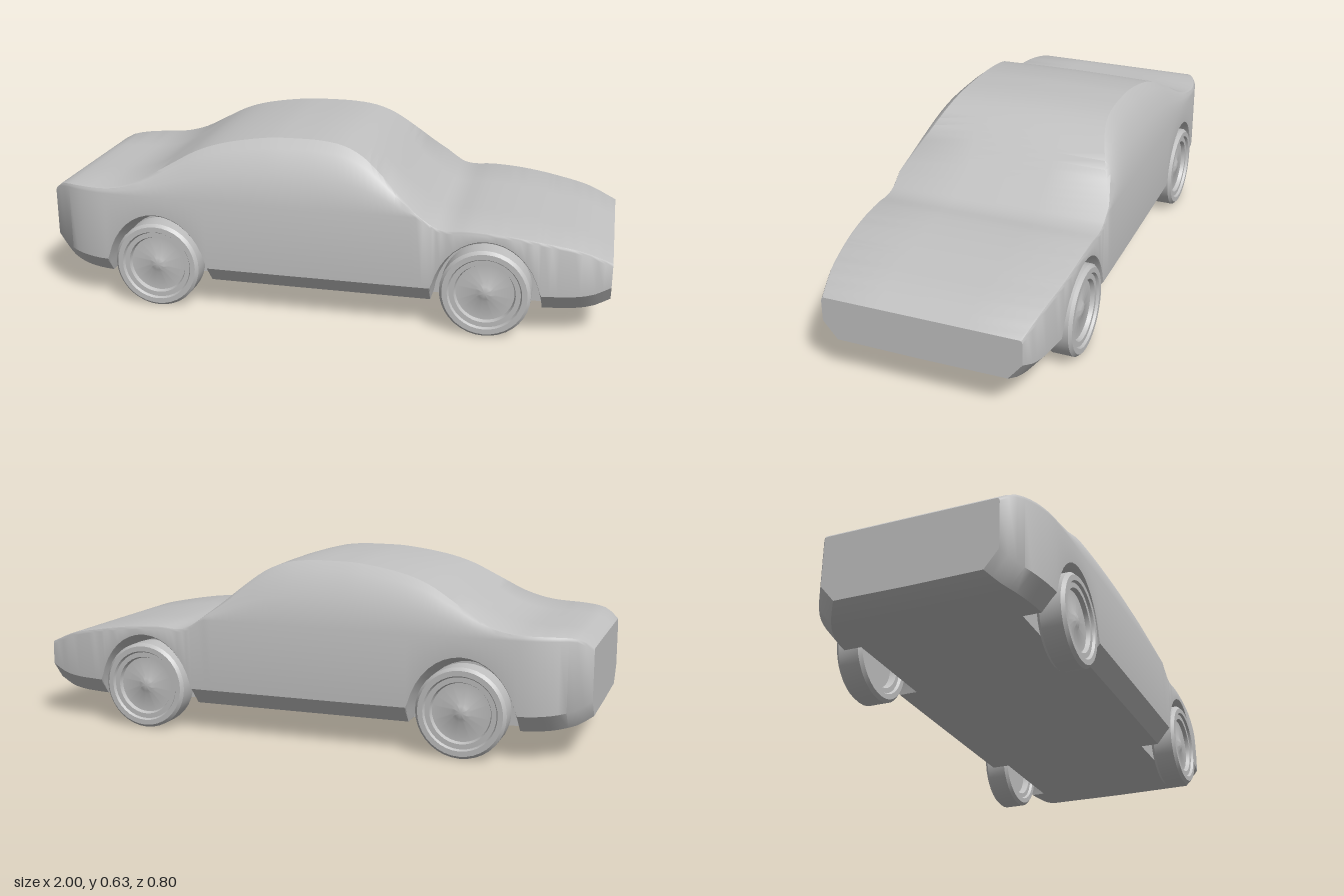
import * as THREE from 'three';
import { toCreasedNormals } from 'three/addons/utils/BufferGeometryUtils.js';

const WHEEL_X = 0.585, WHEEL_R = 0.155, ARCH_W = 0.19;

// Body outlines along the length: [x, value]
const ROOF = [[-1, .385], [-.96, .415], [-.9, .425], [-.75, .432], [-.65, .46], [-.55, .515], [-.45, .57], [-.35, .603],
  [-.2, .628], [-.1, .632], [0, .63], [.08, .617], [.15, .585], [.22, .53], [.3, .46], [.4, .385], [.45, .372], [.52, .376], [.65, .368],
  [.8, .345], [.9, .323], [1, .282]];
const FLOOR = [[-1, .15], [-.95, .122], [-.85, .104], [-.7, .1], [0, .098], [.85, .1], [.94, .11], [1, .136]];
const WIDTH = [[-1, .3], [-.95, .335], [-.88, .37], [-.78, .39], [-.5, .394], [.4, .394], [.7, .388], [.88, .366], [1, .34]];

// Smooth curve through the outline points
function sample(pts, x) {
  const n = pts.length;
  let i = 0;
  while (i < n - 2 && x > pts[i + 1][0]) i++;
  const slope = k => {
    const a = pts[Math.max(0, k - 1)], b = pts[Math.min(n - 1, k + 1)];
    return (b[1] - a[1]) / (b[0] - a[0]);
  };
  const [x0, y0] = pts[i], [x1, y1] = pts[i + 1];
  const d = x1 - x0, t = (x - x0) / d, t2 = t * t, t3 = t2 * t;
  return (2 * t3 - 3 * t2 + 1) * y0 + (t3 - 2 * t2 + t) * d * slope(i)
    + (3 * t2 - 2 * t3) * y1 + (t3 - t2) * d * slope(i + 1);
}

// Half cross-section as [z, y], from roof centre to floor centre
function halfSection(x) {
  const top = sample(ROOF, x), floor = sample(FLOOR, x), w = sample(WIDTH, x);
  const shoulder = Math.min(.41, top - .012);
  const h = top - shoulder, k = h / .22;
  const u = (Math.abs(x) - WHEEL_X) / ARCH_W;
  const arch = Math.abs(u) < 1 ? floor + .24 * Math.sqrt(1 - u * u) : floor;
  const lip = Math.max(floor + .06, arch + .004);
  const inset = .045 * Math.max(0, 1 - (arch - floor) / .06) + .004;
  const well = Math.min(.28, w - inset - .01);
  return [
    [0, top], [.15, top - .002 * k], [w - .108 * k - .004, shoulder + .97 * h], [w - .077 * k, shoulder + .84 * h],
    [w - .033 * k, shoulder + .45 * h], [w, shoulder], [w, lip], [w - inset, arch],
    [well, Math.max(floor, arch - .03)], [well, floor], [0, floor - .002],
  ];
}

function bodyGeometry() {
  // Stations are packed closer around the wheel arches
  const xs = [];
  const run = (a, b, n) => { for (let i = 0; i < n; i++) xs.push(a + (b - a) * i / n); };
  const archRun = c => { for (let i = 0; i < 20; i++) xs.push(c - ARCH_W * Math.cos(Math.PI * i / 20)); };
  run(-1, -WHEEL_X - ARCH_W, 9);
  archRun(-WHEEL_X);
  run(-WHEEL_X + ARCH_W, WHEEL_X - ARCH_W, 32);
  archRun(WHEEL_X);
  run(WHEEL_X + ARCH_W, 1, 9);
  xs.push(1);

  const pos = [], idx = [];
  let m = 0;
  for (const x of xs) {
    const half = halfSection(x);
    const ring = half.concat(half.slice(1, -1).reverse().map(([z, y]) => [-z, y]));
    m = ring.length;
    for (const [z, y] of ring) pos.push(x, y, z);
  }
  for (let i = 0; i < xs.length - 1; i++) {
    for (let j = 0; j < m; j++) {
      const a = i * m + j, b = i * m + (j + 1) % m;
      idx.push(a, b, b + m, a, b + m, a + m);
    }
  }
  // Flat nose and tail
  const last = (xs.length - 1) * m, tail = pos.length / 3;
  pos.push(-1, .27, 0, 1, .21, 0);
  for (let j = 0; j < m; j++) {
    const n = (j + 1) % m;
    idx.push(tail, n, j, tail + 1, last + j, last + n);
  }
  const geo = new THREE.BufferGeometry();
  geo.setAttribute('position', new THREE.Float32BufferAttribute(pos, 3));
  geo.setIndex(idx);
  return toCreasedNormals(geo, .6);
}

// Tyre, stepped rim and domed hub in one turned profile
function wheelGeometry() {
  const profile = [[0, -.015], [.1, -.015], [.105, -.038], [.122, -.038], [.127, -.047], [.145, -.047],
    [WHEEL_R, -.036], [WHEEL_R, .036], [.145, .047], [.127, .047], [.122, .038], [.105, .038], [.1, .024],
    [.035, .024], [.022, .031], [0, .034]].map(p => new THREE.Vector2(...p));
  return toCreasedNormals(new THREE.LatheGeometry(profile, 36).rotateX(Math.PI / 2), .5);
}

export function createModel() {
  const car = new THREE.Group();
  car.name = 'car';
  const grey = new THREE.MeshStandardMaterial({ color: 0xc0c0c0 });
  grey.name = 'plain grey';

  const body = new THREE.Mesh(bodyGeometry(), grey);
  body.name = 'body';
  car.add(body);

  const wheelGeo = wheelGeometry();
  for (const [end, sx] of [['front', 1], ['rear', -1]]) {
    for (const [side, sz] of [['Near', 1], ['Far', -1]]) {
      const wheel = new THREE.Mesh(wheelGeo, grey);
      wheel.name = end + side + 'Wheel';
      wheel.position.set(sx * WHEEL_X, WHEEL_R, sz * .353);
      if (sz < 0) wheel.rotation.y = Math.PI;
      car.add(wheel);
    }
  }
  return car;
}
